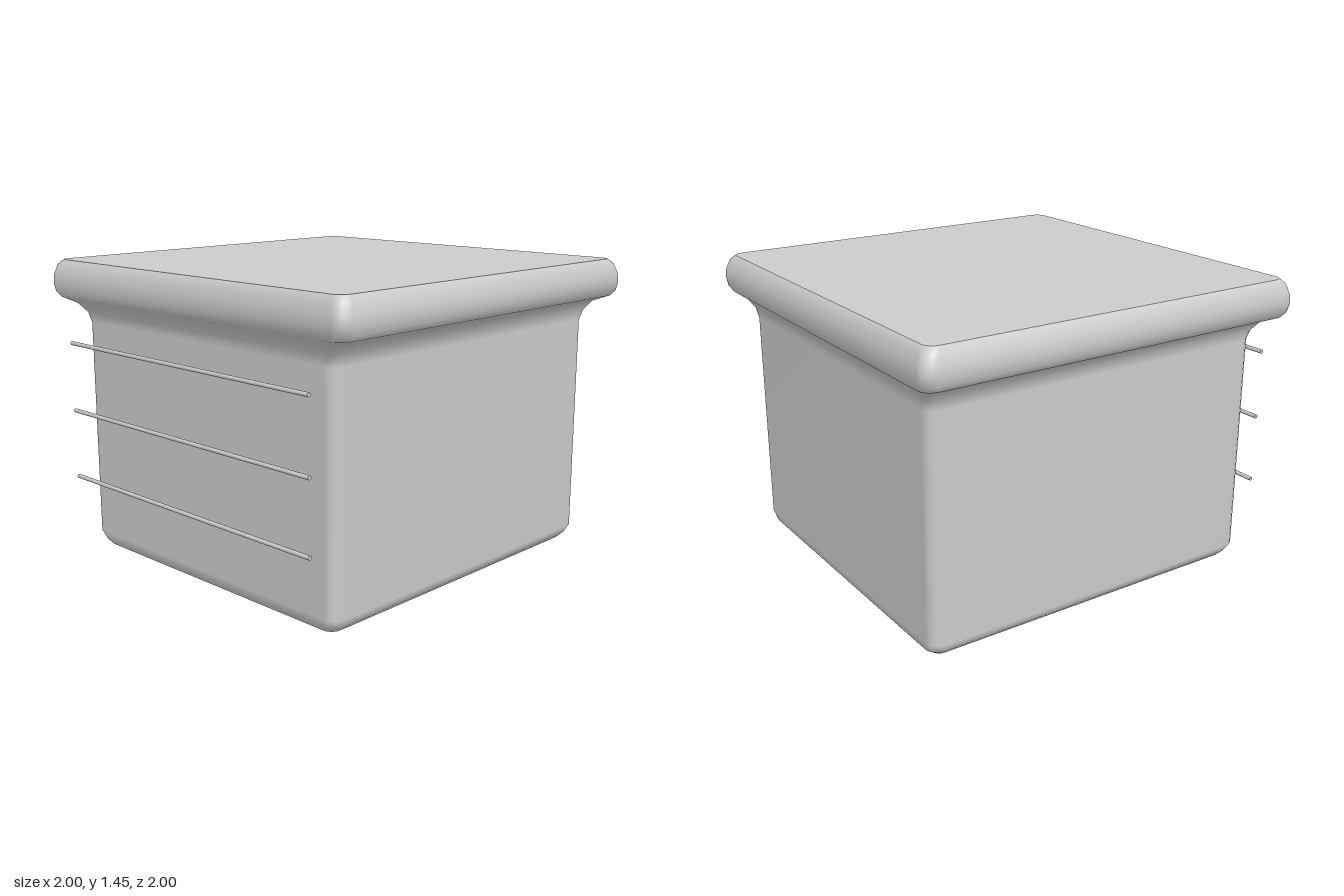
import * as THREE from 'three';

const material = new THREE.MeshStandardMaterial({ color: 0xcccccc });

// Heights with half width, front z, back z and corner radius
const SECTIONS = [
  [0.0, 0.80, 0.845, -0.86, 0.05],
  [0.025, 0.825, 0.865, -0.89, 0.06],
  [0.07, 0.85, 0.88, -0.90, 0.06],
  [1.14, 0.85, 0.88, -0.90, 0.06],
  [1.19, 0.865, 0.89, -0.91, 0.06],
  [1.235, 0.895, 0.925, -0.94, 0.06],
  [1.265, 0.97, 0.97, -0.98, 0.06],
  [1.29, 0.99, 0.985, -0.995, 0.06],
  [1.33, 1.0, 0.99, -1.0, 0.06],
  [1.37, 0.998, 0.988, -0.998, 0.06],
  [1.42, 0.98, 0.972, -0.98, 0.055],
  [1.445, 0.955, 0.95, -0.955, 0.05],
];
const STEPS = 4;

// Rounded rectangle at one height
function ring([y, w, front, back, r]) {
  const points = [];
  for (let corner = 0; corner < 4; corner++) {
    const cx = corner === 0 || corner === 3 ? w - r : r - w;
    const cz = corner < 2 ? front - r : back + r;
    for (let s = 0; s <= STEPS; s++) {
      const a = (corner + s / STEPS) * Math.PI / 2;
      points.push(cx + r * Math.cos(a), y, cz + r * Math.sin(a));
    }
  }
  return points;
}

function makeGeometry(positions, index) {
  const g = new THREE.BufferGeometry();
  g.setAttribute('position', new THREE.Float32BufferAttribute(positions, 3));
  g.setIndex(index);
  g.computeVertexNormals();
  return g;
}

// Skin between the sections
function loft(sections) {
  const n = 4 * (STEPS + 1);
  const index = [];
  for (let i = 0; i < sections.length - 1; i++) {
    for (let j = 0; j < n; j++) {
      const k = (j + 1) % n;
      const a = i * n + j, b = i * n + k, c = a + n, d = b + n;
      index.push(a, c, b, b, c, d);
    }
  }
  return makeGeometry(sections.flatMap(ring), index);
}

// Flat lid closing one end
function cap(section, up) {
  const n = 4 * (STEPS + 1);
  const index = [];
  for (let j = 0; j < n; j++) {
    const k = (j + 1) % n;
    index.push(n, up ? k : j, up ? j : k);
  }
  return makeGeometry([...ring(section), 0, section[0], 0], index);
}

export function createModel() {
  const group = new THREE.Group();
  const add = (name, geometry) => {
    const mesh = new THREE.Mesh(geometry, material);
    mesh.name = name;
    group.add(mesh);
    return mesh;
  };

  // Body flaring into the overhanging rim
  add('body', loft(SECTIONS));
  add('topSurface', cap(SECTIONS[SECTIONS.length - 1], true));
  add('underside', cap(SECTIONS[0], false));

  // Three thin rods in front of the body
  [0.38, 0.715, 1.05].forEach((y, i) => {
    const rod = add(`frontRod${i + 1}`, new THREE.CylinderGeometry(0.01, 0.01, 1.64, 12));
    rod.rotation.z = Math.PI / 2;
    rod.position.set(0, y, 0.99);
  });

  return group;
}
